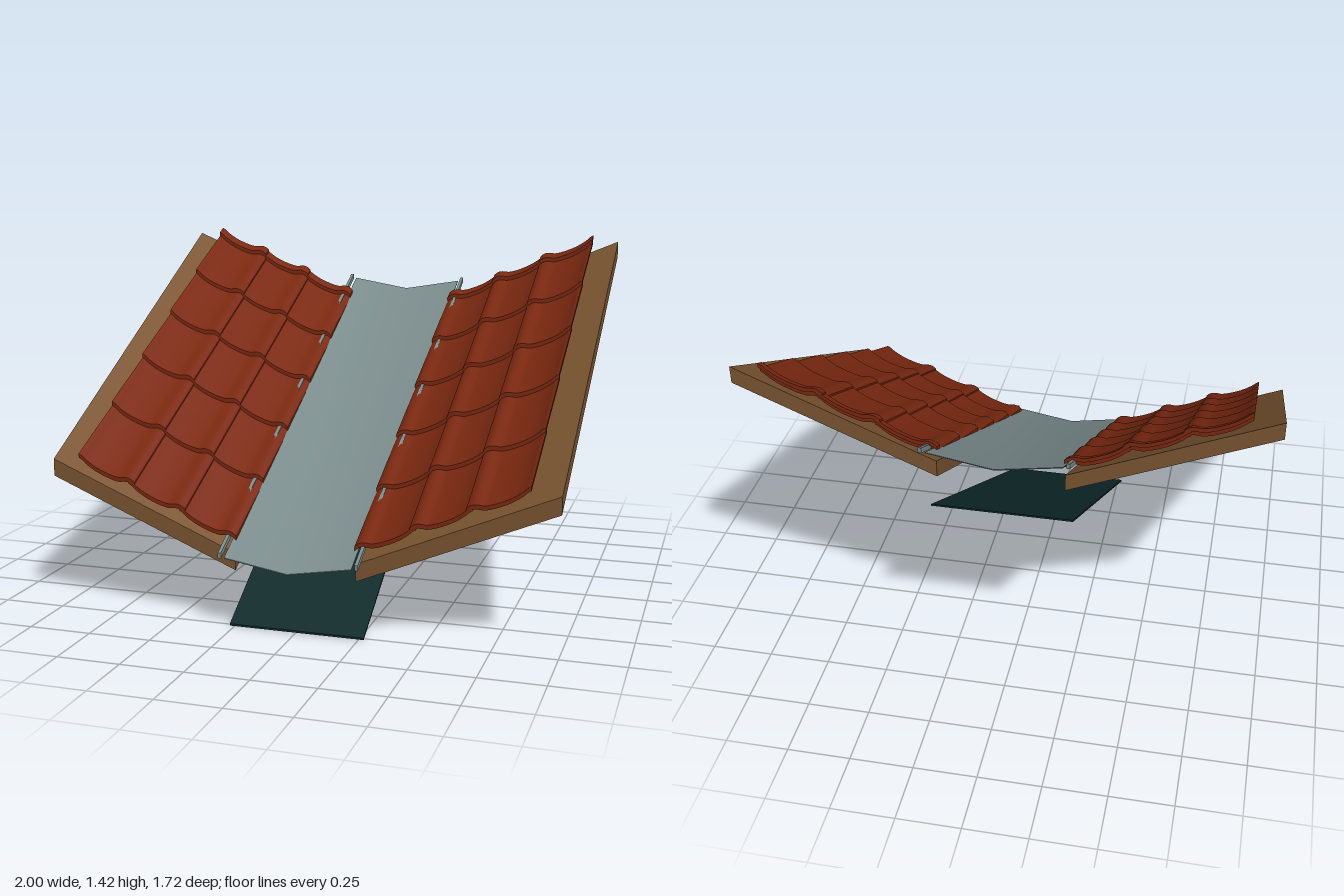
import * as THREE from 'three';
import { toCreasedNormals } from 'three/addons/utils/BufferGeometryUtils.js';

const ROOF = 0.516; // rise per unit of depth

const material = (name, color, side = THREE.FrontSide) => {
  const m = new THREE.MeshStandardMaterial({ color, side });
  m.name = name;
  return m;
};

// Cross-section in x/y at zFront, swept back to zBack while climbing at the given pitch
function slopedPrism(points, zFront, zBack, pitch) {
  const shape = new THREE.Shape(points.map(([x, y]) => new THREE.Vector2(x, y)));
  const geo = new THREE.ExtrudeGeometry(shape, { depth: zFront - zBack, bevelEnabled: false });
  geo.translate(0, 0, zBack);
  const p = geo.attributes.position;
  for (let i = 0; i < p.count; i++) p.setY(i, p.getY(i) + pitch * (zFront - p.getZ(i)));
  geo.computeVertexNormals();
  return toCreasedNormals(geo, 0.5);
}

// Pan tile top profile: distance from outer edge, height above the tile line
const tileCurve = new THREE.SplineCurve([
  [0, 0], [0.012, -0.002], [0.035, -0.012], [0.075, -0.02], [0.125, -0.02],
  [0.165, -0.014], [0.188, -0.003], [0.205, 0.004], [0.222, 0.005], [0.235, -0.001],
].map(([u, v]) => new THREE.Vector2(u, v)));

function tileSection(side, xOuter) {
  const top = tileCurve.getPoints(26).map(({ x: u, y: v }) => {
    const x = xOuter - u;
    return [side * x, 0.643 - 0.425 * (0.89 - x) + v];
  });
  const bottom = top.map(([x, y]) => [x, y - 0.017]).reverse();
  return [...top, ...bottom];
}

export function createModel() {
  const model = new THREE.Group();
  model.name = 'roofValley';
  const wood = material('wood', 0x7a5532);
  const clay = material('clay', 0x7a2810);
  const metal = material('metal', 0x7b8c8d, THREE.DoubleSide);
  const membraneMat = material('membrane', 0x0e2a2a);

  const add = (name, geo, mat, parent = model) => {
    const mesh = new THREE.Mesh(geo, mat);
    mesh.name = name;
    parent.add(mesh);
  };

  // Flat underlay strip beneath the valley
  add('underlay', slopedPrism(
    [[-0.27, 0], [0.27, 0], [0.27, 0.008], [-0.27, 0.008]], 0.765, -0.745, 0.576), membraneMat);

  // V-shaped valley sheet
  add('valleySheet', slopedPrism(
    [[-0.25, 0.3], [0, 0.258], [0.25, 0.3], [0.25, 0.304], [0, 0.262], [-0.25, 0.304]],
    0.86, -0.86, ROOF), metal);

  for (const side of [1, -1]) {
    const label = side > 0 ? 'left' : 'right';

    // Raised rib beside the valley sheet
    add(label + 'ValleyRib', slopedPrism(
      [[0.262, 0.3], [0.275, 0.3], [0.275, 0.321], [0.262, 0.321]].map(([x, y]) => [side * x, y]),
      0.86, -0.86, ROOF), metal);

    // Roof deck board
    add(label + 'Deck', slopedPrism(
      [[0.24, 0.228], [1, 0.546], [1, 0.614], [0.24, 0.296]].map(([x, y]) => [side * x, y]),
      0.77, -0.75, ROOF), wood);

    // Overlapping rows of pan tiles
    const tiles = new THREE.Group();
    tiles.name = label + 'Tiles';
    model.add(tiles);
    for (let row = 0; row < 6; row++) {
      const zFront = 0.77 - 0.296 * row;
      const zBack = Math.max(zFront - 0.32, -0.75);
      for (let col = 0; col < 3; col++) {
        const geo = slopedPrism(tileSection(side, 0.89 - 0.21 * col), zFront, zBack, 0.455);
        geo.translate(0, ROOF * (0.77 - zFront), 0);
        add('tile', geo, clay, tiles);
      }
    }
  }
  return model;
}
